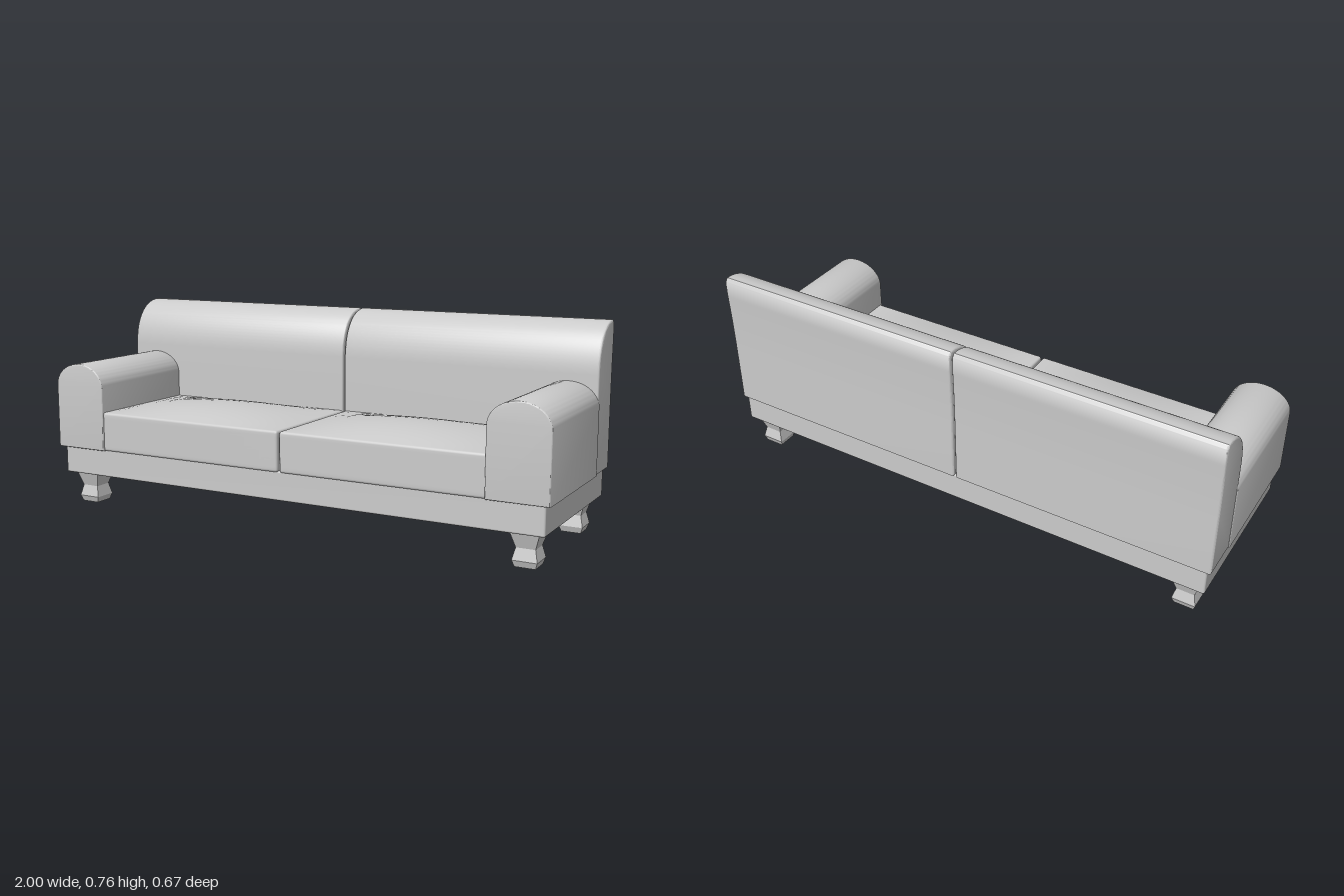
import * as THREE from 'three';
import { mergeVertices, toCreasedNormals } from 'three/addons/utils/BufferGeometryUtils.js';
import { RoundedBoxGeometry } from 'three/addons/geometries/RoundedBoxGeometry.js';

const grey = new THREE.MeshStandardMaterial({ color: 0xcccccc });
const greyFlat = new THREE.MeshStandardMaterial({ color: 0xcccccc, flatShading: true });

function part(name, geometry, material = grey) {
  const mesh = new THREE.Mesh(geometry, material);
  mesh.name = name;
  return mesh;
}

// Extrude a shape to an exact depth, with its bevel kept inside the outline
function softExtrude(shape, depth, bevel) {
  const g = new THREE.ExtrudeGeometry(shape, {
    depth: depth - 2 * bevel, curveSegments: 20,
    bevelThickness: bevel, bevelSize: bevel, bevelOffset: -bevel, bevelSegments: 3,
  });
  g.translate(0, 0, bevel);
  return toCreasedNormals(g, 0.6);
}

// Rounded box whose top swells into a shallow crown
function cushionGeometry(w, h, d, r, crown) {
  const g = new THREE.BoxGeometry(2, 2, 2, 16, 16, 16);
  g.deleteAttribute('uv');
  g.deleteAttribute('normal');
  const pos = g.attributes.position;
  const half = new THREE.Vector3(w / 2, h / 2, d / 2);
  const p = new THREE.Vector3(), core = new THREE.Vector3(), out = new THREE.Vector3();
  for (let i = 0; i < pos.count; i++) {
    p.fromBufferAttribute(pos, i);
    for (const k of ['x', 'y', 'z']) {
      const u = Math.abs(p[k]), inner = half[k] - r, s = Math.sign(p[k]);
      core[k] = s * Math.min(u / 0.75, 1) * inner;
      out[k] = s * Math.max(u - 0.75, 0) / 0.25;
    }
    const swell = (1 - (core.x / (half.x - r)) ** 2) * (1 - (core.z / (half.z - r)) ** 2);
    const onTop = p.y > 0.75 ? 1 : 0;
    p.copy(core).addScaledVector(out.normalize(), r);
    p.y += crown * swell * onTop;
    pos.setXYZ(i, p.x, p.y, p.z);
  }
  const merged = mergeVertices(g);
  merged.computeVertexNormals();
  return merged;
}

// Arm section: straight sides under a rounded top
function armGeometry() {
  const s = new THREE.Shape();
  s.moveTo(-0.11, 0.226);
  s.lineTo(0.11, 0.226);
  s.lineTo(0.11, 0.472);
  s.absellipse(0, 0.472, 0.11, 0.085, 0, Math.PI, false);
  s.closePath();
  return softExtrude(s, 0.51, 0.004).translate(0, 0, -0.176);
}

// Back section (depth, height): front face curving over to the rear edge
function backGeometry() {
  const s = new THREE.Shape();
  s.moveTo(0.165, 0.226);
  s.lineTo(0.165, 0.585);
  s.bezierCurveTo(0.168, 0.69, 0.22, 0.755, 0.302, 0.763);
  s.lineTo(0.32, 0.763);
  s.quadraticCurveTo(0.327, 0.757, 0.333, 0.745);
  s.lineTo(0.333, 0.69);
  s.quadraticCurveTo(0.328, 0.58, 0.328, 0.47);
  s.lineTo(0.328, 0.226);
  s.closePath();
  return softExtrude(s, 0.993, 0.007).rotateY(Math.PI / 2);
}

// Square leg, waisted above a flared foot
function legGeometry() {
  const rings = [[0, 0], [0.036, 0], [0.044, 0.023], [0.034, 0.065], [0.053, 0.126]];
  const points = rings.map(([r, y]) => new THREE.Vector2(r * Math.SQRT2, y));
  return new THREE.LatheGeometry(points, 4, Math.PI / 4);
}

export function createModel() {
  const sofa = new THREE.Group();
  sofa.name = 'sofa';

  // Base frame
  const base = part('base', new RoundedBoxGeometry(1.962, 0.108, 0.64, 3, 0.007));
  base.position.set(0, 0.176, -0.002);
  sofa.add(base);

  // Arms, seats, backs and legs repeat on both sides
  const arm = armGeometry(), back = backGeometry(), leg = legGeometry();
  const seat = cushionGeometry(0.785, 0.15, 0.5, 0.01, 0.034);
  for (const side of [1, -1]) {
    const label = side > 0 ? 'left' : 'right';

    const armMesh = part(label + 'Arm', arm);
    armMesh.position.x = side * 0.89;

    const seatMesh = part(label + 'SeatCushion', seat);
    seatMesh.position.set(side * 0.3965, 0.301, 0.077);

    const backMesh = part(label + 'BackCushion', back);
    backMesh.position.x = side > 0 ? 0.004 : -0.997;

    sofa.add(armMesh, seatMesh, backMesh);

    for (const [end, z] of [['Front', 0.238], ['Back', -0.25]]) {
      const legMesh = part(label + end + 'Leg', leg, greyFlat);
      legMesh.position.set(side * 0.903, 0, z);
      sofa.add(legMesh);
    }
  }
  return sofa;
}
